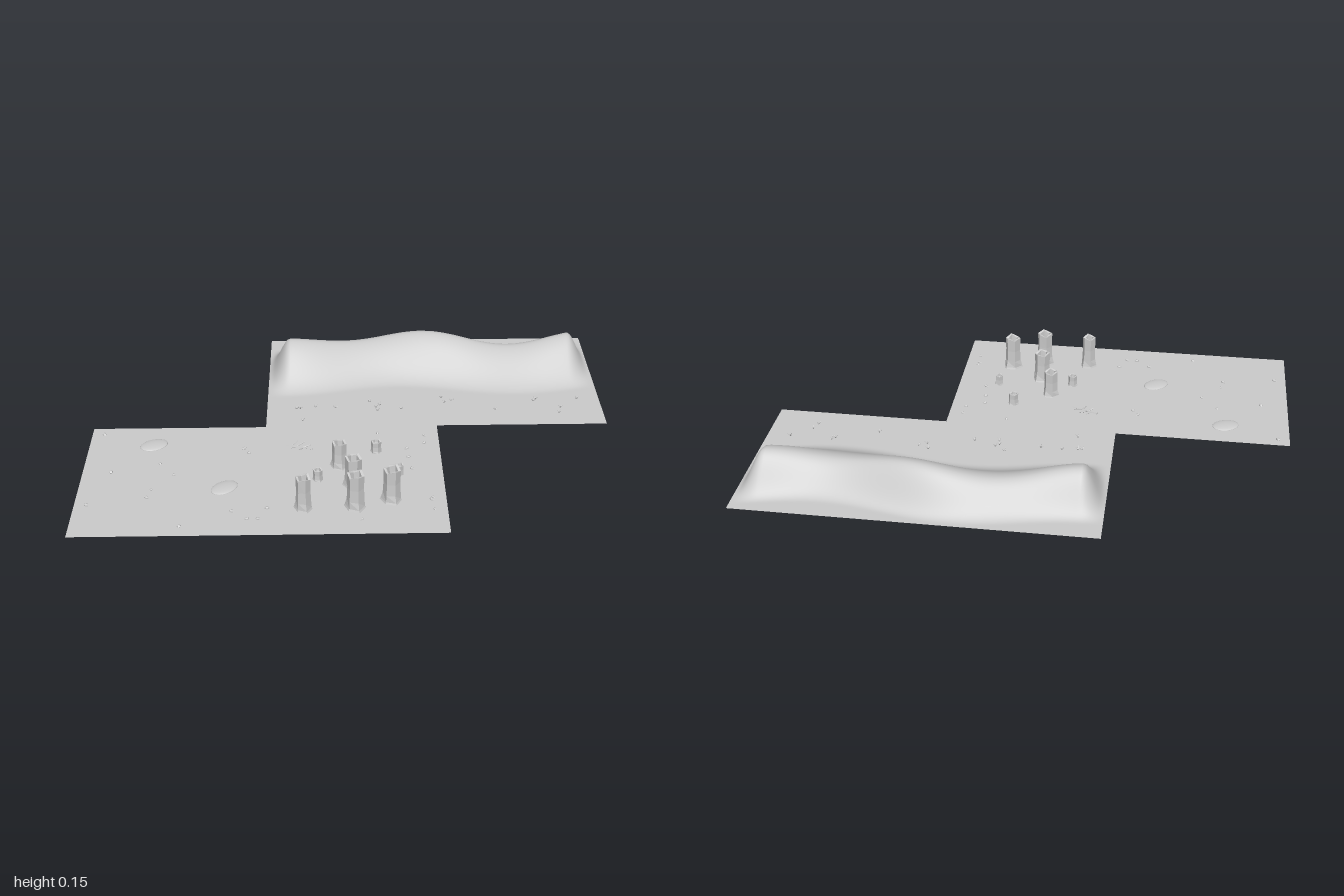
import * as THREE from 'three';
import { mergeVertices } from 'three/addons/utils/BufferGeometryUtils.js';

const GROUND = 0.009;
const smooth = new THREE.MeshStandardMaterial({ color: 0xcccccc, side: THREE.DoubleSide });
const flat = new THREE.MeshStandardMaterial({ color: 0xcccccc, flatShading: true, side: THREE.DoubleSide });

// Small seeded generator for irregular shapes
function seeded(seed) {
  return () => {
    seed = (seed * 16807) % 2147483647;
    return seed / 2147483647;
  };
}

function add(parent, name, geometry, material, x = 0, y = 0, z = 0) {
  const mesh = new THREE.Mesh(geometry, material);
  mesh.name = name;
  mesh.position.set(x, y, z);
  parent.add(mesh);
  return mesh;
}

// Ridge that meanders along x, long slope to the front and a steep one to the back
function duneHeight(x, z) {
  const { smoothstep } = THREE.MathUtils;
  const ridge = -0.475 - 0.032 * Math.cos((2 * Math.PI * (x - 0.2)) / 0.95);
  const crest = 0.118 + 0.019 * Math.cos((2 * Math.PI * (x - 0.34)) / 0.61);
  const ends = smoothstep(x, -0.335, -0.245) * (1 - smoothstep(x, 0.905, 1));
  const d = z - ridge;
  const t = Math.max(0, 1 - Math.abs(d) / (d > 0 ? 0.225 : 0.145));
  return crest * ends * t * t * (3 - 2 * t);
}

function duneTile() {
  const geo = new THREE.PlaneGeometry(1.333, 0.667, 120, 72).rotateX(-Math.PI / 2);
  geo.translate(0.3335, 0, -0.3335);
  const p = geo.attributes.position;
  for (let i = 0; i < p.count; i++) p.setY(i, duneHeight(p.getX(i), p.getZ(i)));
  geo.computeVertexNormals();
  return geo;
}

// Six-sided broken trunk: flared foot, splintered rim, hollow core
function stumpGeometry(r, h, rand) {
  const profile = [
    [1, 0], [0.84, 0.1], [0.72, 0.28], [0.67, 0.6], [0.7, 0.9],
    [0.48, 0.89], [0.42, 0.74], [0, 0.7],
  ].map(([a, b]) => new THREE.Vector2(a * r, b * h));
  let geo = new THREE.LatheGeometry(profile, 6);
  geo.deleteAttribute('uv');
  geo.deleteAttribute('normal');
  geo = mergeVertices(geo, r * 0.01);
  const p = geo.attributes.position;
  const lift = Array.from({ length: 6 }, (_, i) => (i % 2 ? 0.01 : 0.07) + rand() * 0.035);
  for (let i = 0; i < p.count; i++) {
    const x = p.getX(i), z = p.getZ(i);
    const side = (Math.round(Math.atan2(z, x) / (Math.PI / 3) + 0.01) + 6) % 6;
    if (p.getY(i) > h * 0.85) p.setY(i, p.getY(i) + lift[side] * h);
    else if (p.getY(i) < h * 0.2) {
      const k = side % 2 ? 0.9 : 1.04;
      p.setXYZ(i, x * k, p.getY(i), z * k);
    }
  }
  geo.computeVertexNormals();
  return geo;
}

// Tapered twig between two points
function twig(parent, name, from, to, r0, r1) {
  const a = new THREE.Vector3(...from), b = new THREE.Vector3(...to);
  const dir = b.clone().sub(a);
  const mesh = add(parent, name, new THREE.CylinderGeometry(r1, r0, dir.length(), 5), flat);
  mesh.position.copy(a).add(b).multiplyScalar(0.5);
  mesh.quaternion.setFromUnitVectors(new THREE.Vector3(0, 1, 0), dir.normalize());
}

export function createModel() {
  const model = new THREE.Group();
  model.name = 'desertTerrain';
  const rand = seeded(4711);

  // Two offset ground tiles, the rear one raised into a dune
  add(model, 'duneTile', duneTile(), smooth, 0, GROUND, 0);
  const plain = new THREE.PlaneGeometry(1.333, 0.665).rotateX(-Math.PI / 2);
  add(model, 'flatTile', plain, smooth, -0.3335, GROUND, 0.3325);

  // Petrified stumps: x, z, foot radius, height
  const stumps = [
    [-0.05, 0.26, 0.04, 0.117], [0, 0.38, 0.045, 0.134], [0.135, 0.47, 0.045, 0.147],
    [0.005, 0.51, 0.045, 0.156], [-0.18, 0.515, 0.039, 0.147], [-0.13, 0.345, 0.026, 0.054],
    [0.09, 0.17, 0.028, 0.056], [0.17, 0.315, 0.024, 0.05],
  ];
  for (const [x, z, r, h] of stumps) {
    const stump = add(model, 'stump', stumpGeometry(r, h, rand), flat, x, 0.001, z);
    stump.rotation.y = rand() * 0.5;
  }

  // Flat oval sand mounds: x, z, turn
  for (const [x, z, turn] of [[-0.755, 0.115, 0.4], [-0.47, 0.39, 0.65]]) {
    const dome = new THREE.SphereGeometry(1, 32, 8, 0, Math.PI * 2, 0, Math.PI / 2);
    const mound = add(model, 'sandMound', dome, smooth, x, GROUND, z);
    mound.scale.set(0.053, 0.008, 0.037);
    mound.rotation.y = turn;
  }

  // Fallen dead branch with side twigs
  const branch = new THREE.Group();
  branch.name = 'deadBranch';
  branch.position.set(-0.2, GROUND + 0.004, 0.14);
  twig(branch, 'branchStem', [-0.05, 0, -0.01], [0.05, 0.003, 0.022], 0.005, 0.002);
  const sideTwigs = [
    [-0.03, -0.003, -0.008, -0.03], [-0.012, 0.002, 0.018, -0.022], [0.012, 0.01, 0.042, -0.003],
    [-0.015, 0.001, -0.032, 0.018], [0.012, 0.01, -0.002, 0.03],
  ];
  for (const [x0, z0, x1, z1] of sideTwigs) {
    twig(branch, 'sideTwig', [x0, 0.001, z0], [x1, 0.006, z1], 0.003, 0.0015);
  }
  model.add(branch);

  // Pebbles scattered over the flat tile: x, z
  const pebbles = [
    [-0.955, 0.04], [-0.72, 0.235], [-0.895, 0.285], [-0.66, 0.31], [-0.735, 0.4], [-0.745, 0.445],
    [-0.955, 0.485], [-0.41, 0.145], [-0.39, 0.175], [-0.31, 0.515], [-0.435, 0.53], [-0.34, 0.575],
    [-0.38, 0.575], [-0.615, 0.61], [0.1, 0.05], [0.28, 0.07], [0.275, 0.12], [0.205, 0.155],
    [0.21, 0.21], [0.22, 0.285], [0.285, 0.46], [0.28, 0.475], [0.285, 0.53], [0.025, 0.585],
  ];
  for (const [x, z] of pebbles) {
    const stone = add(model, 'pebble', new THREE.DodecahedronGeometry(1), flat, x, GROUND + 0.001, z);
    const r = 0.006 + rand() * 0.003;
    stone.scale.set(r * 1.2, r * 0.75, r * 0.85);
    stone.rotation.y = rand() * 6;
  }

  // Dry tufts in front of the dune: x, z
  const tufts = [
    [-0.14, -0.14], [-0.2, -0.13], [-0.215, -0.13], [-0.19, -0.045], [-0.06, -0.135], [0.075, -0.175],
    [0.1, -0.135], [0.105, -0.11], [0.115, -0.15], [0.2, -0.12], [0.365, -0.2], [0.375, -0.165],
    [0.405, -0.18], [0.575, -0.11], [0.735, -0.17], [0.745, -0.183], [0.835, -0.12], [0.825, -0.085],
    [0.91, -0.18],
  ];
  for (const [x, z] of tufts) {
    const tuft = new THREE.Group();
    tuft.name = 'dryTuft';
    tuft.position.set(x, GROUND - 0.001, z);
    const turn = rand() * 6;
    for (let i = 0; i < 4; i++) {
      const a = turn + (i * Math.PI) / 2, reach = 0.006 + rand() * 0.004;
      const tip = [Math.cos(a) * reach, 0.008 + rand() * 0.006, Math.sin(a) * reach];
      twig(tuft, 'blade', [0, 0, 0], tip, 0.0025, 0.0008);
    }
    model.add(tuft);
  }
  return model;
}
